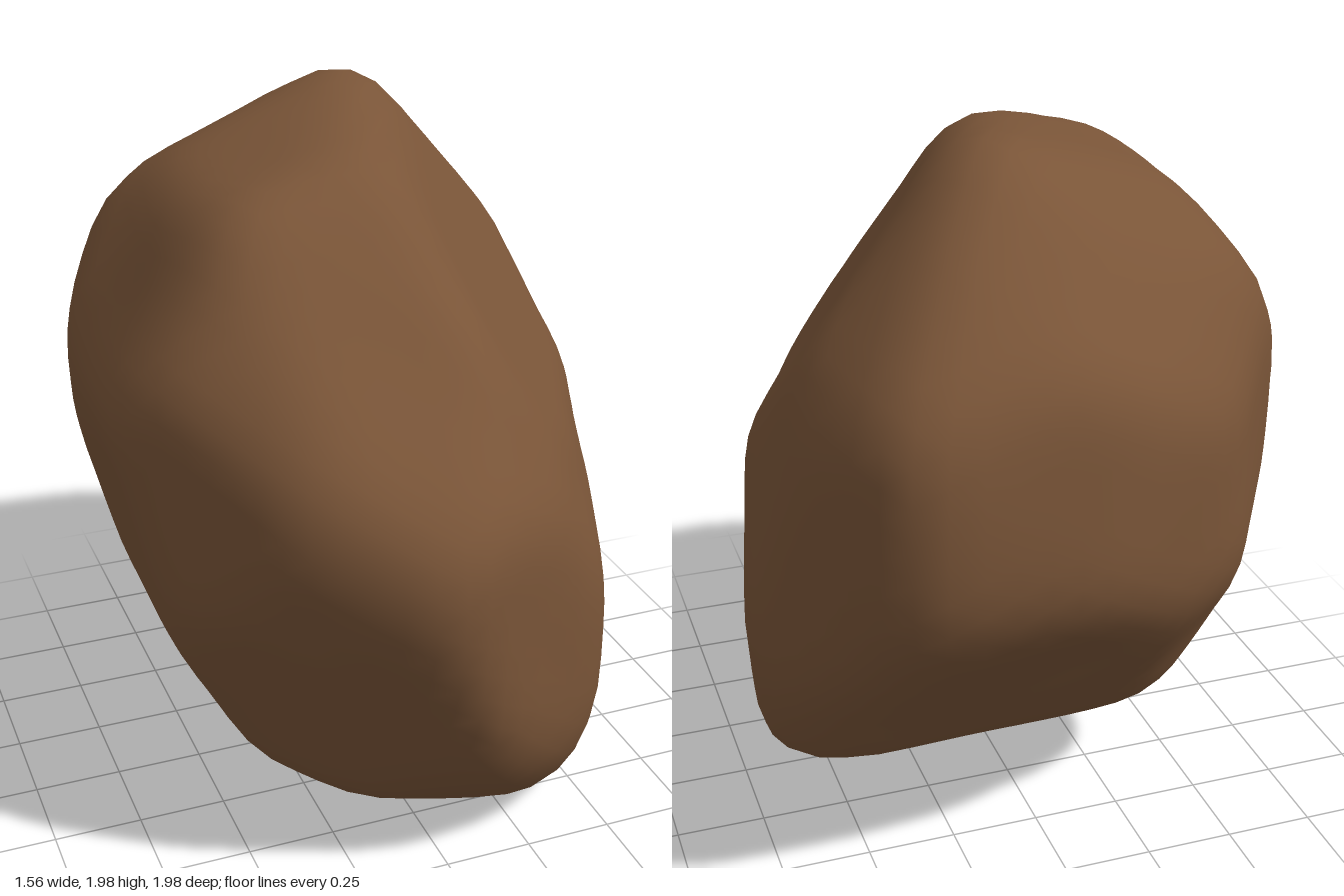
import * as THREE from 'three';
import { mergeVertices } from 'three/addons/utils/BufferGeometryUtils.js';

const rockBrown = new THREE.MeshStandardMaterial({ color: 0x7a5538 });
rockBrown.name = 'rockBrown';

const V = (x, y, z) => new THREE.Vector3(x, y, z);

// The rock is a block cut by flat planes, then worn smooth.
// Each edge of a convex outline gives one plane along the remaining axis.
function outlineCuts(right, up, points) {
  return points.map(([a, b], i) => {
    const [c, d] = points[(i + 1) % points.length];
    const normal = right.clone().multiplyScalar(b - d).addScaledVector(up, c - a).normalize();
    if (normal.dot(right) * a + normal.dot(up) * b < 0) normal.negate();
    const offset = normal.dot(right) * a + normal.dot(up) * b;
    return { normal, offset };
  });
}

// Outlines around the middle of the rock
const frontCuts = outlineCuts(V(1, 0, 0), V(0, 1, 0), [
  [0.13, 1], [-0.48, 0.79], [-0.78, 0.3], [-0.63, -0.38], [-0.4, -0.82],
  [-0.09, -0.96], [0.49, -1], [0.72, -0.71], [0.78, -0.3], [0.6, 0.47]]);
const sideCuts = outlineCuts(V(0, 0, 1), V(0, 1, 0), [
  [0.28, 0.88], [-0.38, 1], [-0.92, 0.55], [-1, -0.02], [-0.44, -0.71],
  [0.34, -1], [0.62, -0.96], [0.91, -0.52], [1, 0.05]]);
const topCuts = outlineCuts(V(1, 0, 0), V(0, 0, 1), [
  [-0.1, 1], [0.47, 0.7], [0.78, -0.35], [0.5, -0.96], [0, -0.99],
  [-0.4, -0.82], [-0.74, -0.33], [-0.78, 0.31], [-0.45, 0.79]]);

// Slanted facets: normal, then distance from the middle
const slantedCuts = [
  [0.17, 0.74, -0.65, 1.03], [0.72, -0.7, -0.01, 1.04], [-0.18, -0.74, 0.65, 1.02],
  [-0.58, -0.42, 0.7, 0.82], [-0.82, 0.55, 0.18, 0.86], [-0.42, 0.58, 0.7, 0.89],
  [-0.87, -0.35, 0.36, 0.82], [-0.06, -0.84, -0.55, 0.82], [0.78, 0.62, -0.11, 0.8],
  [-0.29, 0.68, -0.68, 0.98], [-0.87, -0.32, -0.38, 0.76], [-0.77, -0.64, -0.09, 0.81],
  [0.87, 0.3, 0.4, 0.61], [0.39, 0.86, 0.33, 0.83], [-0.37, 0.86, -0.35, 0.95],
  // broad face on the left of the ridge
  [0.75, 0.55, 0.35, 0.575],
].map(([x, y, z, offset]) => ({ normal: V(x, y, z).normalize(), offset }));

// Blunted corners: side of each axis, then distance from the middle
const cornerCuts = [
  [1, 1, 1, 0.73], [-1, -1, -1, 0.82], [1, -1, 1, 1.06],
  [1, -1, -1, 0.95], [-1, 1, 1, 0.88], [-1, 1, -1, 0.95],
].map(([x, y, z, offset]) => ({ normal: V(0.5 * x, 0.5 * y, 0.7 * z).normalize(), offset }));

const cuts = [...frontCuts, ...sideCuts, ...topCuts, ...slantedCuts, ...cornerCuts];

// Shallow hollows in the front: centre, radius, depth
const dents = [
  [V(0.3, 0.05, 0.65), 0.13, 0.03],
  [V(-0.42, -0.1, 0.75), 0.1, 0.02],
];

// Distance from the middle to the nearest cut, with a margin for wear
function reach(d) {
  let r = Infinity;
  for (const { normal, offset } of cuts) {
    const k = normal.dot(d);
    if (k > 1e-4) r = Math.min(r, (offset + 0.014) / k);
  }
  return r;
}

// Reach averaged over a small cone, which rounds the edges
function wornReach(d) {
  const side = V(0.31, 0.87, -0.39).cross(d).normalize();
  const other = side.clone().cross(d);
  const steps = 10;
  let sum = reach(d);
  for (const spread of [0.06, 0.12]) {
    for (let i = 0; i < steps; i++) {
      const t = (i / steps) * Math.PI * 2;
      const near = d.clone()
        .addScaledVector(side, spread * Math.cos(t))
        .addScaledVector(other, spread * Math.sin(t));
      sum += reach(near.normalize());
    }
  }
  return sum / (2 * steps + 1);
}

function rockGeometry() {
  const ball = new THREE.IcosahedronGeometry(1, 13);
  ball.deleteAttribute('normal');
  ball.deleteAttribute('uv');
  const geometry = mergeVertices(ball, 1e-4);
  const pos = geometry.attributes.position;
  for (let i = 0; i < pos.count; i++) {
    const d = V(0, 0, 0).fromBufferAttribute(pos, i).normalize();
    const p = d.clone().multiplyScalar(wornReach(d));
    // gentle unevenness, then the hollows
    let push = 0.004 * Math.sin(9 * p.x + 4 * p.y) * Math.sin(8 * p.z - 5 * p.y + 1);
    for (const [centre, radius, depth] of dents) {
      push -= depth * Math.exp(-p.distanceToSquared(centre) / (radius * radius));
    }
    p.addScaledVector(d, push);
    pos.setXYZ(i, p.x, p.y, p.z);
  }
  geometry.computeVertexNormals();
  geometry.computeBoundingBox();
  return geometry;
}

export function createModel() {
  const rock = new THREE.Mesh(rockGeometry(), rockBrown);
  rock.name = 'rock';
  // rest the rock on the ground
  rock.position.y = -rock.geometry.boundingBox.min.y;

  const group = new THREE.Group();
  group.name = 'boulder';
  group.add(rock);
  return group;
}
